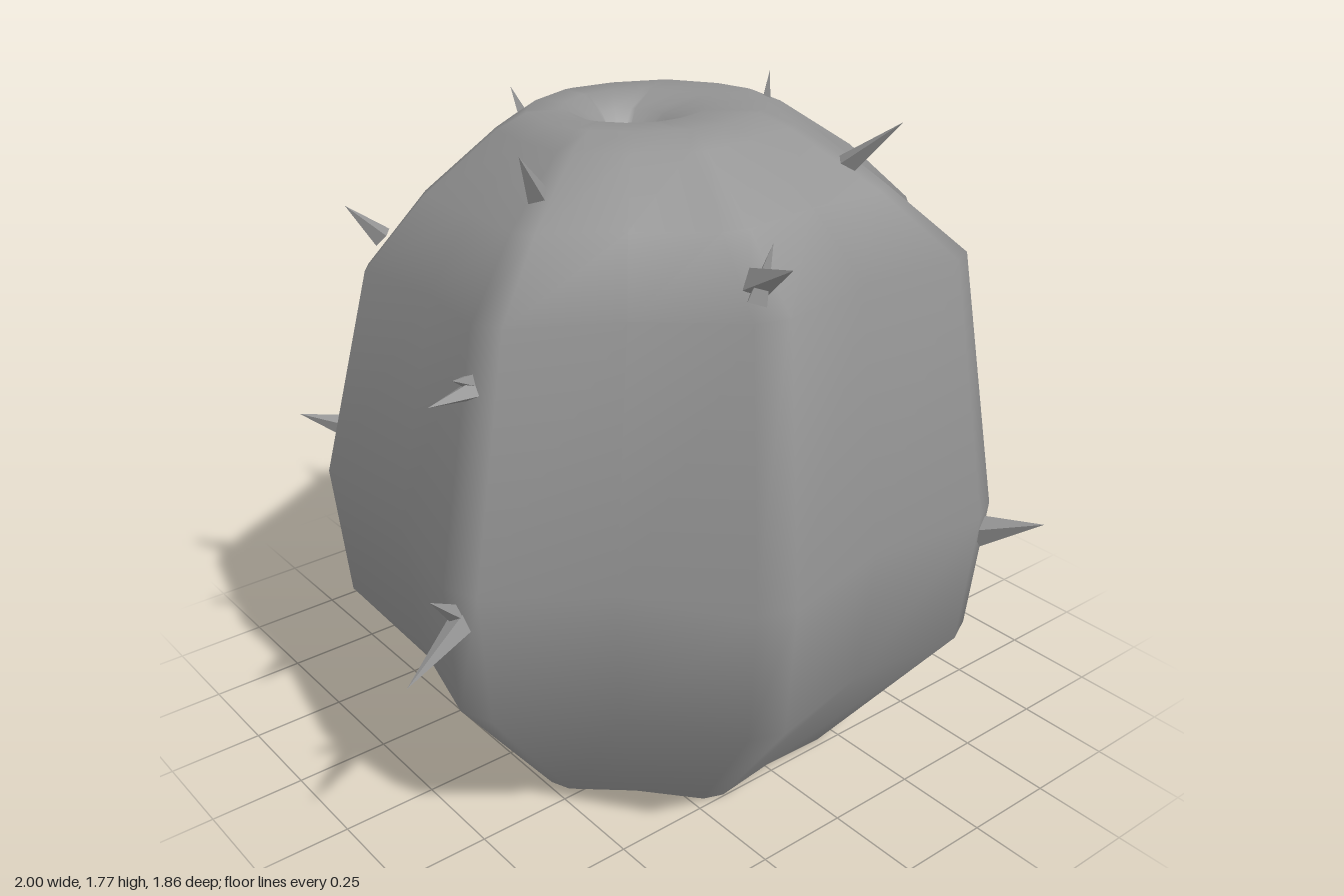
import * as THREE from 'three';

const V = (p) => new THREE.Vector3(...p);
const GREY = 0x939393;

// Widest cross-section [x, z]: two points per rib crest, then one for the groove
const section = [
  [0.83, 0.13], [0.82, 0.21], [0.59, 0.45],
  [0.45, 0.78], [0.37, 0.82], [0.04, 0.785],
  [-0.27, 0.845], [-0.36, 0.81], [-0.55, 0.55],
  [-0.8, 0.36], [-0.835, 0.27], [-0.755, -0.05],
  [-0.755, -0.41], [-0.71, -0.47], [-0.4, -0.59],
  [-0.1, -0.81], [-0.04, -0.815], [0.24, -0.64],
  [0.56, -0.55], [0.61, -0.49], [0.64, -0.14],
];

// Rows from foot to crown dimple: height, scale, rounding of ribs, x and z offset, tilt
const rows = [
  [0, 0.575, 0.25, -0.015, 0.02, 0],
  [0.42, 0.96, 0, 0, 0, 0],
  [0.78, 1, 0, 0, 0, 0],
  [1.36, 0.865, 0.05, 0.01, 0.012, 0.1],
  [1.53, 0.675, 0.3, 0, 0, 0.08],
  [1.675, 0.45, 0.7, -0.02, 0, 0.06],
  [1.715, 0.36, 0.9, -0.03, 0.01, 0.05],
  [1.715, 0.22, 1, -0.06, 0, 0.03],
  [1.68, 0.12, 1, -0.07, -0.02, 0],
  [1.61, 0.04, 1, -0.07, -0.03, 0],
];

function ribbedBody() {
  const pos = [], idx = [], n = section.length;
  rows.forEach(([y, s, round, dx, dz, tilt], r) => {
    section.forEach(([x, z], i) => {
      const k = s * THREE.MathUtils.lerp(1, 0.81 / Math.hypot(x, z), round);
      pos.push(x * k + dx, y + tilt * z * k, z * k + dz);
      if (r === rows.length - 1) return;
      const a = r * n + i, b = r * n + (i + 1) % n;
      idx.push(a, a + n, b, b, a + n, b + n);
    });
  });
  // Close the bottom of the dimple
  const last = (rows.length - 1) * n;
  pos.push(-0.07, 1.6, -0.03);
  for (let i = 0; i < n; i++) idx.push(last + i, last + n, last + (i + 1) % n);
  const g = new THREE.BufferGeometry();
  g.setAttribute('position', new THREE.Float32BufferAttribute(pos, 3));
  g.setIndex(idx);
  g.computeVertexNormals();
  return g;
}

// Spines: base point, tip point, base radius
const spines = [
  [[-0.81, 0.69, 0.3], [-1, 0.63, 0.37], 0.035],
  [[-0.81, 0.71, 0.29], [-0.9, 0.79, 0.32], 0.03],
  [[0.8, 0.95, 0.17], [1, 1.03, 0.19], 0.032],
  [[-0.06, 0.68, -0.79], [-0.075, 0.71, -0.93], 0.035],
  [[0.42, 0.72, 0.8], [0.48, 0.77, 0.93], 0.04],
  [[-0.25, 1.5, 0.67], [-0.29, 1.575, 0.81], 0.037],
  [[-0.26, 1.48, 0.68], [-0.235, 1.59, 0.69], 0.03],
  [[-0.46, 1.6, 0.16], [-0.53, 1.715, 0.19], 0.035],
  [[0.28, 1.69, 0.1], [0.285, 1.77, 0.105], 0.018],
  [[0.22, 1.62, 0.45], [0.26, 1.74, 0.58], 0.03],
  [[-0.08, 1.59, -0.44], [-0.085, 1.67, -0.5], 0.022],
  [[0.5, 1.38, -0.4], [0.58, 1.46, -0.44], 0.033],
  [[0.5, 1.38, -0.39], [0.54, 1.47, -0.42], 0.028],
  [[-0.7, 1.24, 0.26], [-0.86, 1.25, 0.3], 0.036],
  [[-0.7, 1.25, 0.25], [-0.79, 1.29, 0.29], 0.033],
  [[-0.59, 1.41, -0.36], [-0.65, 1.48, -0.4], 0.028],
  [[-0.7, 0.89, -0.43], [-0.79, 0.93, -0.475], 0.03],
  [[0.55, 0.32, -0.45], [0.61, 0.35, -0.49], 0.035],
];

export function createModel() {
  const model = new THREE.Group();
  model.name = 'barrelCactus';

  const body = new THREE.Mesh(ribbedBody(),
    new THREE.MeshStandardMaterial({ color: GREY, side: THREE.DoubleSide }));
  body.name = 'ribbedBody';
  model.add(body);

  const thorns = new THREE.Group();
  thorns.name = 'spines';
  const mat = new THREE.MeshStandardMaterial({ color: GREY, flatShading: true });
  for (const [from, to, radius] of spines) {
    const a = V(from), b = V(to), dir = b.clone().sub(a), length = dir.length();
    dir.normalize();
    // Base sunk a little below the skin
    const g = new THREE.ConeGeometry(radius, length + 0.02, 4).translate(0, length / 2 - 0.01, 0);
    const spine = new THREE.Mesh(g, mat);
    spine.name = 'spine';
    spine.position.copy(a);
    spine.quaternion.setFromUnitVectors(new THREE.Vector3(0, 1, 0), dir);
    thorns.add(spine);
  }
  model.add(thorns);
  return model;
}
